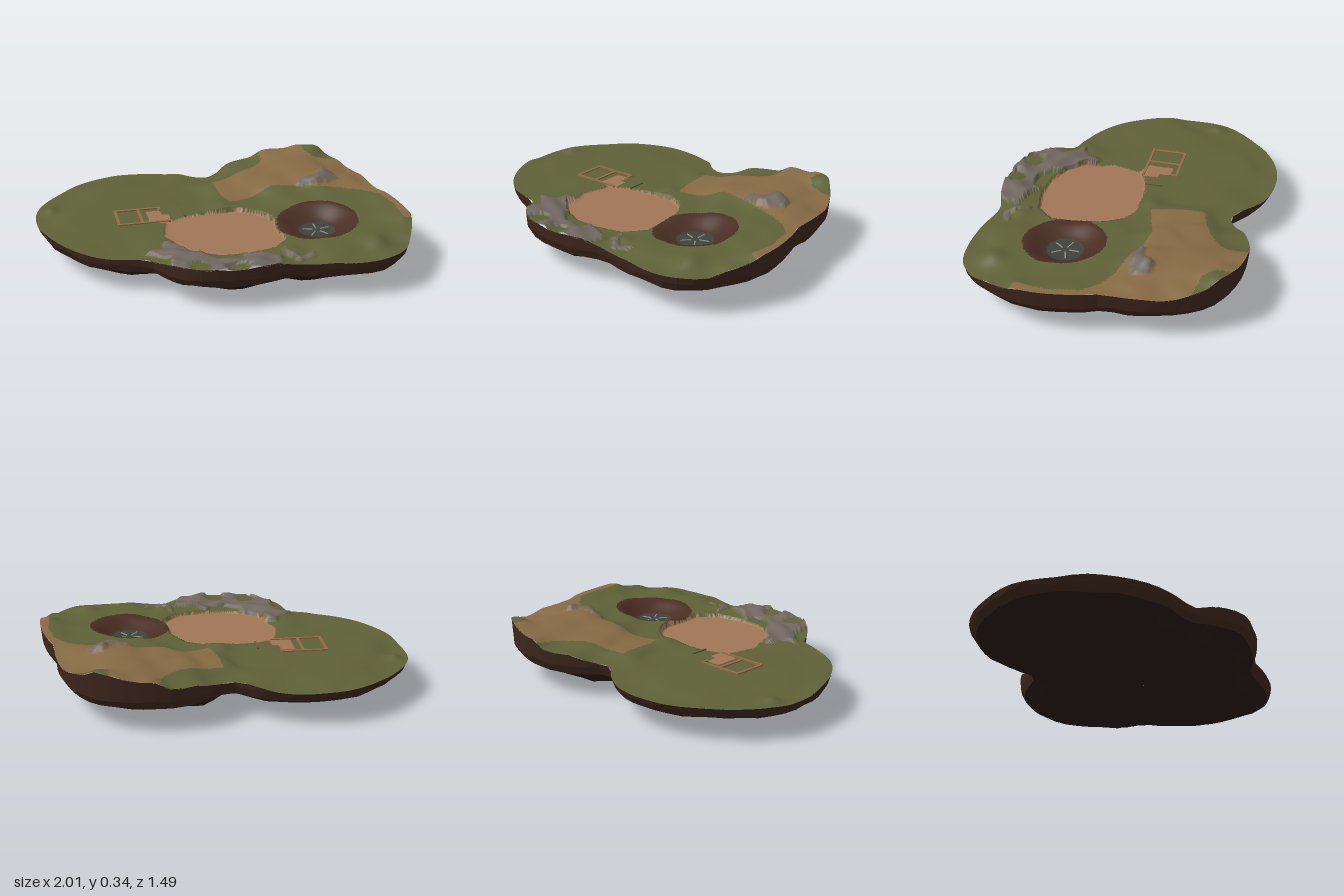
import * as THREE from 'three';

const COLORS = {
  grass: 0x5f6138, dryEarth: 0x866a45, clay: 0xa07556, rock: 0x70665f, craterSoil: 0x4a2e23,
  craterFloor: 0x3f423b, crack: 0x8d8f88, cliff: 0x3e271d, underside: 0x2a1b16, ruin: 0x946a45,
};
const mats = {};
for (const [name, color] of Object.entries(COLORS)) {
  mats[name] = new THREE.MeshStandardMaterial({ color });
  mats[name].name = name;
}

// Island outline and colour regions, as [x, z] corners
const OUTLINE = [[-1, -.2], [-.99, -.3], [-.95, -.4], [-.85, -.53], [-.7, -.66], [-.55, -.73], [-.4, -.75], [-.25, -.73],
  [-.12, -.67], [-.03, -.595], [.04, -.57], [.1, -.6], [.2, -.67], [.32, -.72], [.45, -.73], [.62, -.7], [.73, -.65],
  [.82, -.55], [.88, -.43], [.92, -.28], [.94, -.05], [.97, .03], [1, .2], [1, .36], [.95, .5], [.87, .64], [.78, .71],
  [.62, .74], [.42, .72], [.25, .69], [.18, .71], [.08, .735], [-.1, .735], [-.25, .71], [-.35, .64], [-.44, .53],
  [-.47, .47], [-.55, .44], [-.7, .38], [-.82, .28], [-.92, .13], [-.98, -.03]];
const ARENA = [[-.3, .02], [-.2, -.03], [-.05, -.05], [.12, -.05], [.2, 0], [.26, .08], [.28, .15], [.27, .25], [.29, .38],
  [.2, .48], [.05, .51], [-.1, .5], [-.22, .45], [-.32, .35], [-.31, .27], [-.34, .2], [-.32, .1]];
const PATH = [[-.39, -.15], [-.31, -.15], [-.31, -.09], [-.27, -.08], [-.27, 0], [-.2, 0], [-.29, .04], [-.39, -.01]];
const DRY = [[.42, -.8], [.4, -.63], [.36, -.56], [.28, -.5], [.15, -.45], [.05, -.43], [.06, -.25], [.09, -.13],
  [.2, -.16], [.35, -.2], [.5, -.18], [.62, -.13], [.75, -.1], [.85, -.05], [.93, .04], [.96, .2], [.95, .38],
  [1.1, .38], [1.1, -.52], [.8, -.52], [.7, -.54], [.66, -.6], [.68, -.8]];
const ROCKS = [
  [[-.47, .41], [-.38, .36], [-.36, .28], [-.31, .3], [-.3, .38], [-.2, .44], [-.17, .52], [-.1, .58], [0, .58], [.02, .52],
    [.09, .57], [.2, .6], [.19, .68], [.1, .78], [-.25, .76], [-.38, .62], [-.37, .5]],
  [[.49, -.18], [.56, -.21], [.64, -.22], [.66, -.28], [.74, -.28], [.75, -.2], [.7, -.16], [.6, -.15]],
  [[.23, .49], [.25, .56], [.3, .62], [.38, .59], [.37, .63], [.29, .655], [.23, .59]],
];
// Grassy pockets inside the rocks: x, z, radius
const POCKETS = [[-.24, .65, .06], [-.05, .7, .06]];
const CRATER = { x: .5, z: .24, r: .225, floor: .1, y: .175 };

// Ground levels [x, z, y] and small mounds [x, z, radius, height]
const LEVELS = [[-1, -.2, .175], [-.9, .1, .195], [-.6, -.7, .185], [-.3, -.74, .185], [-.9, -.5, .18], [-.5, -.2, .2],
  [-.5, -.5, .2], [-.6, .3, .19], [-.47, .47, .2], [-.75, -.1, .2], [-.1, -.3, .2], [0, .2, .2], [-.2, .2, .2], [.15, .3, .2],
  [.04, -.57, .2], [.1, -.35, .235], [.3, -.4, .265], [.3, -.7, .24], [.5, -.73, .29], [.7, -.67, .32], [.6, -.45, .3],
  [.8, -.5, .275], [.9, -.4, .25], [.93, -.2, .26], [.8, -.2, .28], [.6, -.25, .305], [.4, -.28, .28], [.5, -.08, .25],
  [.2, -.08, .22], [.75, -.02, .26], [.97, .1, .27], [1, .3, .27], [.96, .47, .24], [.86, .63, .21], [.62, .74, .205],
  [.3, .7, .205], [.75, .15, .255], [.75, .4, .24], [.5, .53, .235], [.32, .08, .23], [.32, .42, .22],
  [-.4, .6, .225], [-.2, .72, .23], [0, .74, .235], [.15, .7, .225], [-.4, .42, .215], [-.05, .57, .21]];
const MOUNDS = [[.73, .57, .07, .035], [.73, -.6, .06, .015], [-.91, -.31, .04, .025], [.95, .37, .05, .015],
  [.68, -.24, .06, .015], [.28, .56, .05, .015], [.03, -.12, .06, .015], [-.3, .5, .06, .015], [.05, .62, .06, .012]];

function inside(poly, x, z) {
  let hit = false;
  for (let i = 0, j = poly.length - 1; i < poly.length; j = i++) {
    const [ax, az] = poly[i], [bx, bz] = poly[j];
    if ((az > z) !== (bz > z) && x < (bx - ax) * (z - az) / (bz - az) + ax) hit = !hit;
  }
  return hit;
}
const isRock = (x, z) => ROCKS.some(p => inside(p, x, z)) && !POCKETS.some(p => Math.hypot(x - p[0], z - p[1]) < p[2]);
const wave = (x, z) => Math.sin(x * 23 + z * 11) * .5 + Math.sin(z * 31 - x * 17 + 1.3) * .5;

// Terrain height
function height(x, z) {
  let sum = 0, total = 0;
  for (const [lx, lz, ly] of LEVELS) {
    const w = 1 / ((x - lx) ** 2 + (z - lz) ** 2 + .004) ** 2;
    sum += w * ly;
    total += w;
  }
  let y = sum / total;
  for (const [mx, mz, r, h] of MOUNDS) y += h * Math.exp(-((x - mx) ** 2 + (z - mz) ** 2) / (r * r));
  if (isRock(x, z)) y += .015 + .01 * wave(x * 1.6, z * 1.6);
  if (inside(ARENA, x, z)) y = .198;
  const d = Math.hypot(x - CRATER.x, z - CRATER.z);
  if (d < CRATER.r) y = THREE.MathUtils.lerp(CRATER.y, y, THREE.MathUtils.smoothstep(d, CRATER.floor * .8, CRATER.r));
  return y;
}

// Colour of the ground at a point
function ground(x, z) {
  const d = Math.hypot(x - CRATER.x, z - CRATER.z);
  if (d < CRATER.floor) return 'craterFloor';
  if (d < CRATER.r) return 'craterSoil';
  if (inside(ARENA, x, z) || inside(PATH, x, z)) return 'clay';
  if (isRock(x, z)) return 'rock';
  return inside(DRY, x, z) ? 'dryEarth' : 'grass';
}

// Joins rings of points into one surface, with a material per triangle
function loft(name, rings, pick, flat) {
  const n = rings[0].length, lists = {};
  const pos = rings.flat(2);
  const add = (...t) => {
    const x = t.reduce((s, k) => s + pos[k * 3], 0) / 3, z = t.reduce((s, k) => s + pos[k * 3 + 2], 0) / 3;
    (lists[pick(x, z)] ??= []).push(...t);
  };
  for (let j = 0; j < rings.length - 1; j++) {
    for (let i = 0; i < n; i++) {
      const k = (i + 1) % n, a = j * n + i, b = j * n + k, c = a + n, d = b + n;
      add(a, d, c);
      add(a, b, d);
    }
  }
  let geo = new THREE.BufferGeometry();
  geo.setAttribute('position', new THREE.Float32BufferAttribute(pos, 3));
  const names = Object.keys(lists);
  geo.setIndex(names.flatMap(m => lists[m]));
  let start = 0;
  names.forEach((m, i) => {
    geo.addGroup(start, lists[m].length, i);
    start += lists[m].length;
  });
  if (flat) geo = geo.toNonIndexed();
  geo.computeVertexNormals();
  const mesh = new THREE.Mesh(geo, names.map(m => mats[m]));
  mesh.name = name;
  return mesh;
}

export function createModel() {
  const island = new THREE.Group();
  island.name = 'island';
  const curve = new THREE.CatmullRomCurve3(OUTLINE.map(([x, z]) => new THREE.Vector3(x, 0, z)), true, 'centripetal');
  const CZ = .1;
  const ring = (points, t, yOf) => points.map(p => {
    const x = p.x * t, z = CZ + (p.z - CZ) * t;
    return [x, yOf(x, z), z];
  });

  // Ground surface
  const fine = curve.getSpacedPoints(300).slice(0, -1);
  const rings = [];
  for (let j = 0; j <= 100; j++) rings.push(ring(fine, Math.max(j / 100, .001), height));
  island.add(loft('ground', rings, ground, false));

  // Earth cliff around the edge
  const coarse = curve.getSpacedPoints(75).slice(0, -1);
  const low = (x, z) => .128 - .025 * Math.max(0, -x - .4) + .006 * wave(x, z);
  const edge = ring(coarse, .96, low);
  island.add(loft('cliff', [ring(coarse, 1, height), ring(coarse, .99, (x, z) => .175 - .02 * Math.max(0, -x) + .008 * wave(z, x)), edge],
    () => 'cliff', true));

  // Rough rounded underside
  const under = [[.82, .08], [.65, .045], [.45, .022], [.25, .008], [.001, 0]]
    .map(([t, y]) => ring(coarse, t, (x, z) => Math.max(0, y + y * .22 * wave(x * .8, z * .8))));
  island.add(loft('underside', [edge, ...under], () => 'underside', true));

  const slab = (name, mat, x, z, w, d, h, turn = 0, y = height(x, z)) => {
    const mesh = new THREE.Mesh(new THREE.BoxGeometry(w, h, d), mats[mat]);
    mesh.position.set(x, y, z);
    mesh.rotation.y = turn;
    mesh.name = name;
    island.add(mesh);
  };

  // Low ruined foundation walls
  for (const [x, z, w, d] of [[-.56, -.09, .016, .2], [-.43, -.09, .016, .2], [-.435, -.183, .265, .014],
    [-.42, .005, .29, .014], [-.31, -.165, .014, .04]]) slab('foundationWall', 'ruin', x, z, w, d, .014);
  slab('foundationStub', 'grass', -.183, -.08, .012, .1, .014);

  // Star of cracks on the crater floor
  for (let i = 0; i < 5; i++) {
    const a = i * Math.PI * .4 + .3, r = .05;
    slab('craterCrack', 'crack', CRATER.x + Math.cos(a) * r, CRATER.z - Math.sin(a) * r, .055, .006, .006, a, CRATER.y + .002);
  }
  return island;
}
